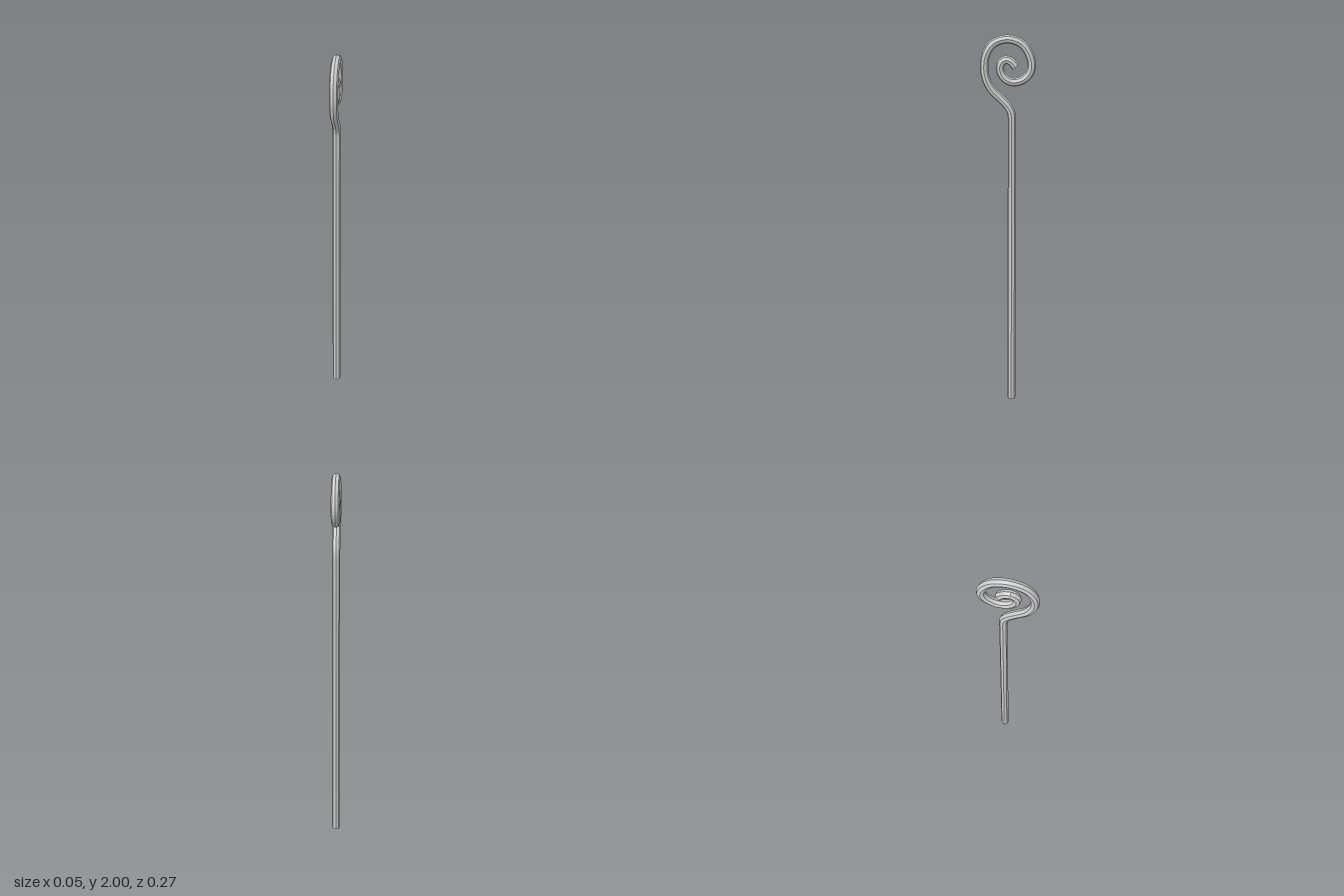
import * as THREE from 'three';

const SIDES = 8;
const RADIUS = 0.02;
const BASE_RADIUS = 0.0225;
const SHAFT_Z = -0.018;
const SHAFT_TOP = 1.54;

// Centre line of the scroll as [z, y], from the shaft to the inner tip
const SCROLL = [
  [SHAFT_Z, SHAFT_TOP], [-0.018, 1.593], [-0.015, 1.63], [0.004, 1.667], [0.04, 1.704],
  [0.082, 1.746], [0.108, 1.8], [0.115, 1.857], [0.103, 1.915], [0.071, 1.959],
  [0.024, 1.979], [-0.018, 1.979], [-0.066, 1.958], [-0.098, 1.915], [-0.112, 1.862],
  [-0.1, 1.82], [-0.066, 1.79], [-0.02, 1.781], [0.018, 1.799], [0.039, 1.836],
  [0.033, 1.872], [0.008, 1.886], [-0.018, 1.874], [-0.035, 1.852],
];

export function createModel() {
  const group = new THREE.Group();
  group.name = 'scrollTopStake';
  const material = new THREE.MeshStandardMaterial({ color: 0xcccccc, flatShading: true });

  const add = (name, geometry) => {
    const mesh = new THREE.Mesh(geometry, material);
    mesh.name = name;
    group.add(mesh);
    return mesh;
  };

  // Long straight rod, slightly thicker at the foot
  const shaft = add('shaft', new THREE.CylinderGeometry(RADIUS, BASE_RADIUS, SHAFT_TOP, SIDES));
  shaft.position.set(0, SHAFT_TOP / 2, SHAFT_Z);

  // Rod curling into a flat spiral
  const curve = new THREE.CatmullRomCurve3(SCROLL.map(([z, y]) => new THREE.Vector3(0, y, z)));
  add('scroll', new THREE.TubeGeometry(curve, 72, RADIUS, SIDES));

  // Flat end closing the inner tip
  const tip = add('scrollTip', new THREE.CircleGeometry(RADIUS, SIDES));
  tip.position.copy(curve.getPoint(1));
  tip.lookAt(tip.position.clone().add(curve.getTangent(1)));

  return group;
}
